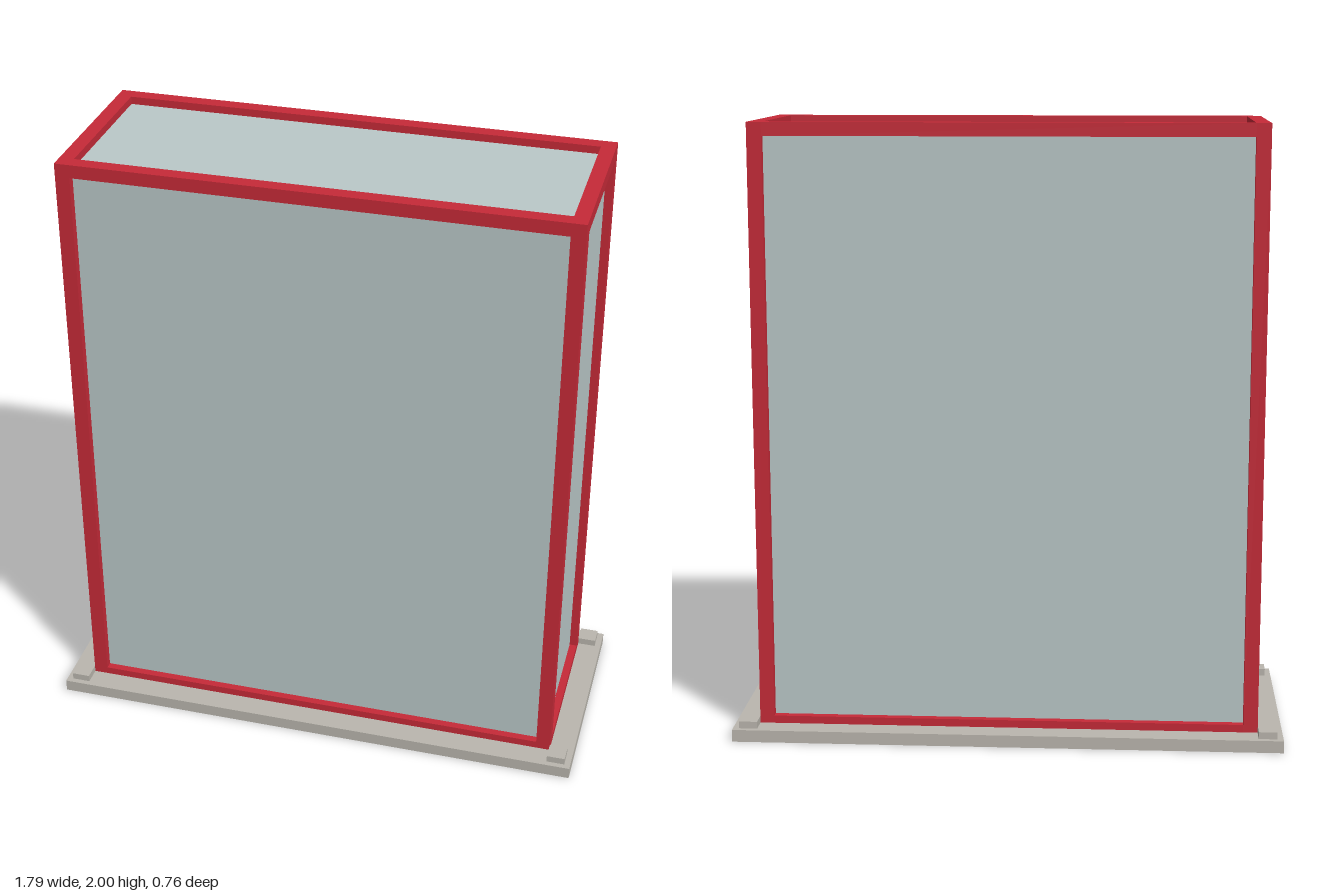
import * as THREE from 'three';

export function createModel() {
  const model = new THREE.Group();
  const mat = (name, color) => {
    const m = new THREE.MeshStandardMaterial({ color });
    m.name = name;
    return m;
  };
  const red = mat('red frame', 0xc62a38);
  const glass = mat('pale glass', 0xbac8c8);
  const stone = mat('grey base', 0xbab6ae);

  // Box given by its lower and upper corners
  const box = (name, material, [x0, y0, z0], [x1, y1, z1]) => {
    const mesh = new THREE.Mesh(new THREE.BoxGeometry(x1 - x0, y1 - y0, z1 - z0), material);
    mesh.position.set((x0 + x1) / 2, (y0 + y1) / 2, (z0 + z1) / 2);
    mesh.name = name;
    model.add(mesh);
  };

  const X = 0.815, Z = 0.3, T = 0.047;  // frame half sizes and bar width
  const floor = 0.04, sill = 0.065, top = 2, lintel = 1.957;
  const recess = 0.025;

  box('basePlate', stone, [-0.895, 0, -0.378], [0.895, floor, 0.378]);

  // Glass body set back behind the frame on every visible side
  box('glassPanels', glass, [-X + recess, floor, -Z + recess], [X - recess, top - recess, Z - recess]);

  // Corner posts and the pads at the corners of the base
  for (const sx of [-1, 1]) for (const sz of [-1, 1]) {
    const cx = sx * (X - T / 2), cz = sz * (Z - T / 2);
    box('cornerPost', red, [cx - T / 2, floor, cz - T / 2], [cx + T / 2, top, cz + T / 2]);
    const px = sx * 0.845, pz = sz * 0.33;
    box('cornerPad', stone, [px - 0.03, floor, pz - 0.03], [px + 0.03, 0.063, pz + 0.03]);
  }

  // Rails between the posts, at the bottom and the top
  for (const [y0, y1] of [[floor, sill], [lintel, top]]) for (const s of [-1, 1]) {
    const cz = s * (Z - T / 2), cx = s * (X - T / 2);
    box('longRail', red, [-X + T, y0, cz - T / 2], [X - T, y1, cz + T / 2]);
    box('shortRail', red, [cx - T / 2, y0, -Z + T], [cx + T / 2, y1, Z - T]);
  }
  return model;
}
